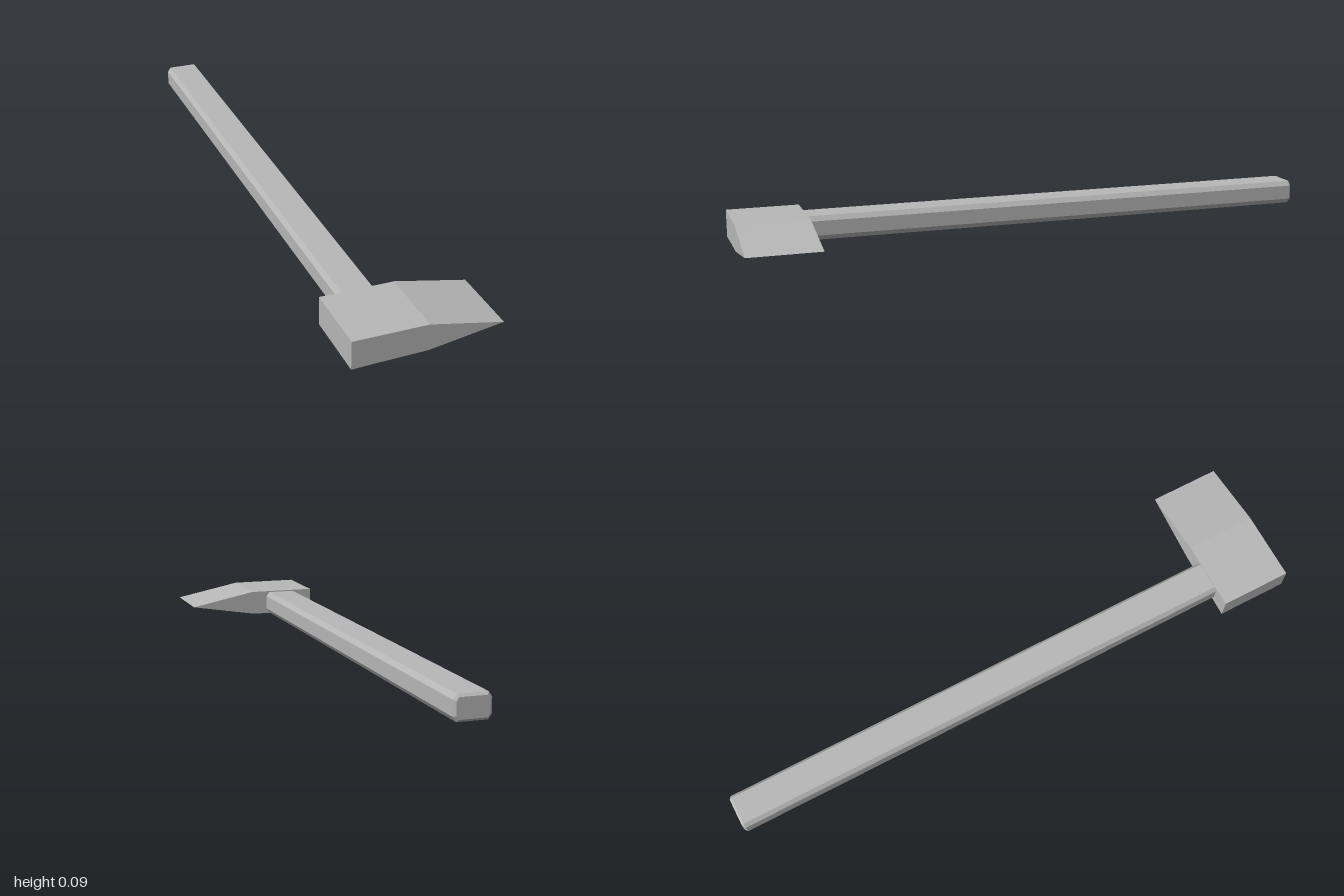
import * as THREE from 'three';

// Extrudes an outline in the xy plane from z0 to z1, with an optional small bevel on the ends
function prism(name, points, z0, z1, bevel, material) {
  const shape = new THREE.Shape(points.map(([x, y]) => new THREE.Vector2(x, y)));
  const geometry = new THREE.ExtrudeGeometry(shape, {
    depth: z1 - z0 - 2 * bevel,
    bevelEnabled: bevel > 0,
    bevelThickness: bevel,
    bevelSize: bevel,
    bevelOffset: -bevel,
    bevelSegments: 1,
  });
  geometry.translate(0, 0, z0 + bevel);
  const mesh = new THREE.Mesh(geometry, material);
  mesh.name = name;
  return mesh;
}

export function createModel() {
  const model = new THREE.Group();
  model.name = 'axe';
  const grey = new THREE.MeshStandardMaterial({ color: 0xb8b8b8, flatShading: true });
  grey.name = 'grey';

  // Wedge-shaped head: blunt poll at -x, cutting edge at +x
  const headOutline = [
    [-0.235, 0], [-0.16, 0.003], [0, 0.007], [0.233, 0.045], [0, 0.092], [-0.235, 0.092],
  ];
  model.add(prism('head', headOutline, 0.76, 1, 0, grey));

  // Handle with chamfered long edges and a slightly bevelled butt
  const [x0, x1, y0, y1, cx, cy] = [-0.175, -0.057, 0.008, 0.088, 0.011, 0.016];
  const handleOutline = [
    [x0 + cx, y0], [x1 - cx, y0], [x1, y0 + cy], [x1, y1 - cy],
    [x1 - cx, y1], [x0 + cx, y1], [x0, y1 - cy], [x0, y0 + cy],
  ];
  model.add(prism('handle', handleOutline, -1, 0.78, 0.008, grey));

  return model;
}
